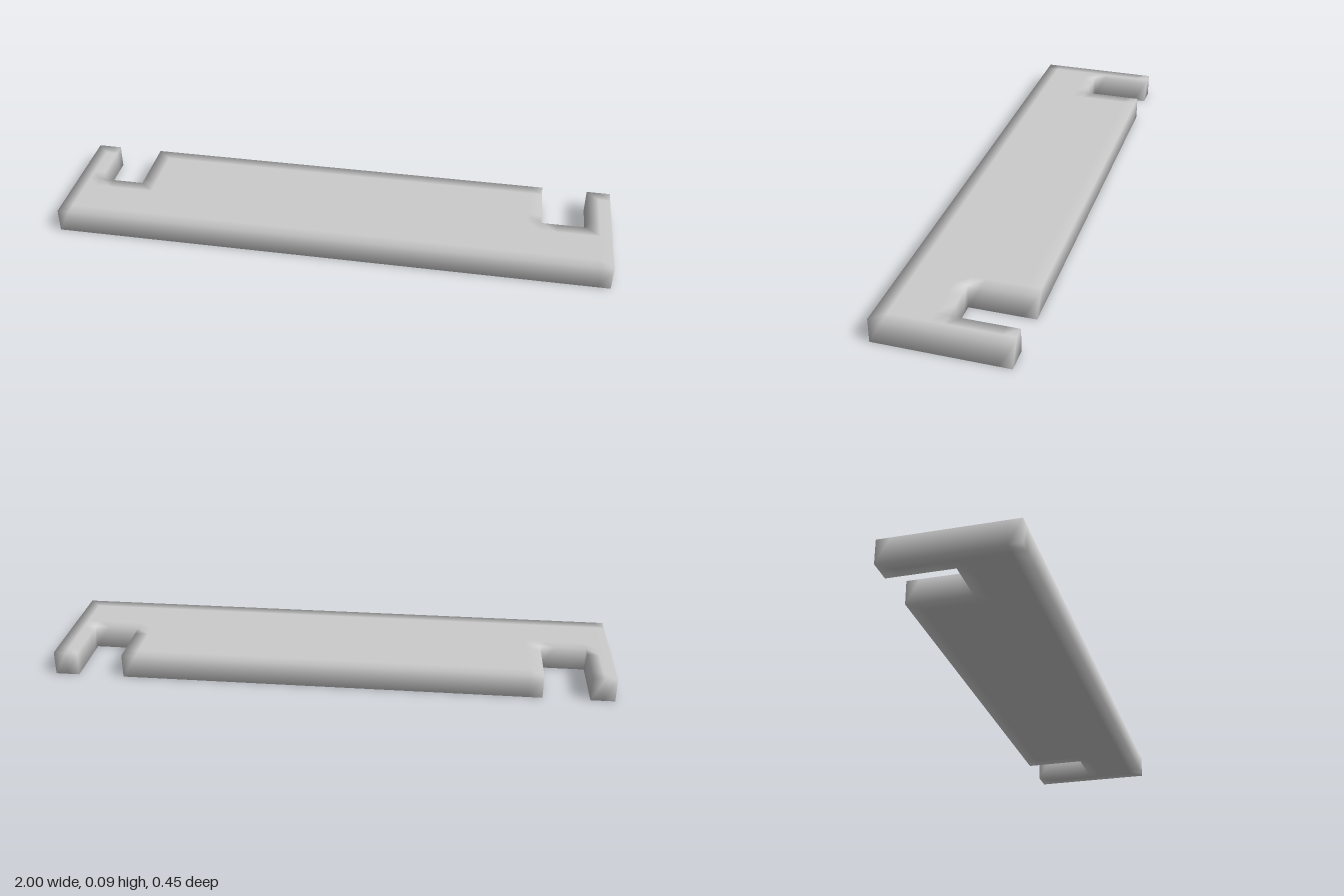
import * as THREE from 'three';
import { mergeVertices } from 'three/addons/utils/BufferGeometryUtils.js';

const HEIGHT = 0.085;
const STEP = 0.05;

// Split the spans between the given stops into even steps
function gridLines(stops) {
  const lines = [stops[0]];
  for (let i = 1; i < stops.length; i++) {
    const a = stops[i - 1], b = stops[i];
    const n = Math.max(1, Math.round((b - a) / STEP));
    for (let k = 1; k <= n; k++) lines.push(a + (b - a) * k / n);
  }
  return lines;
}

// Solid slab over the filled grid cells, with normals shared across the edges
function slabGeometry(xs, zs, filled) {
  const pos = [];
  const quad = (a, b, c, d) => pos.push(...a, ...b, ...c, ...a, ...c, ...d);
  const isFilled = (i, j) => i >= 0 && j >= 0 && i < xs.length - 1 && j < zs.length - 1
    && filled((xs[i] + xs[i + 1]) / 2, (zs[j] + zs[j + 1]) / 2);
  // Upright wall from a to b, facing right of the walking direction
  const wall = (ax, az, bx, bz) =>
    quad([ax, 0, az], [bx, 0, bz], [bx, HEIGHT, bz], [ax, HEIGHT, az]);

  for (let i = 0; i < xs.length - 1; i++) {
    for (let j = 0; j < zs.length - 1; j++) {
      if (!isFilled(i, j)) continue;
      const x0 = xs[i], x1 = xs[i + 1], z0 = zs[j], z1 = zs[j + 1];
      quad([x0, HEIGHT, z0], [x0, HEIGHT, z1], [x1, HEIGHT, z1], [x1, HEIGHT, z0]);
      quad([x0, 0, z0], [x1, 0, z0], [x1, 0, z1], [x0, 0, z1]);
      if (!isFilled(i, j + 1)) wall(x0, z1, x1, z1);
      if (!isFilled(i, j - 1)) wall(x1, z0, x0, z0);
      if (!isFilled(i + 1, j)) wall(x1, z1, x1, z0);
      if (!isFilled(i - 1, j)) wall(x0, z0, x0, z1);
    }
  }
  const soup = new THREE.BufferGeometry();
  soup.setAttribute('position', new THREE.Float32BufferAttribute(pos, 3));
  const geometry = mergeVertices(soup);
  geometry.computeVertexNormals();
  return geometry;
}

export function createModel() {
  const group = new THREE.Group();
  group.name = 'notchedSlab';

  // Long slab with a rear notch near each end, leaving a slim arm outside it
  const xs = gridLines([-1, -0.915, -0.75, 0.75, 0.915, 1]);
  const zs = gridLines([-0.227, 0, 0.227]);
  const inNotch = (x, z) => z < 0 && Math.abs(x) > 0.75 && Math.abs(x) < 0.915;
  const slab = new THREE.Mesh(
    slabGeometry(xs, zs, (x, z) => !inNotch(x, z)),
    new THREE.MeshStandardMaterial({ color: 0xcccccc })
  );
  slab.name = 'slab';
  group.add(slab);
  return group;
}
